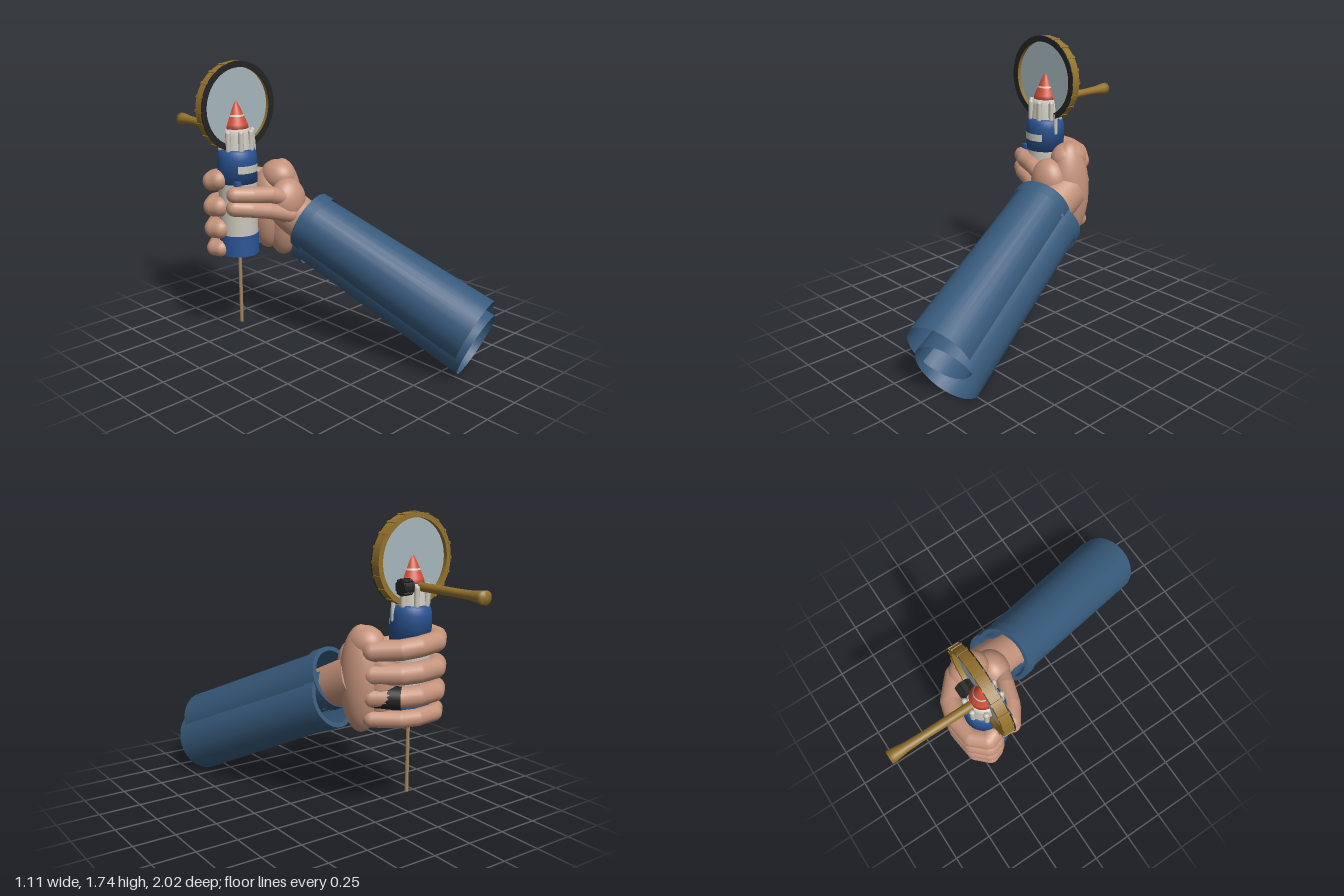
import * as THREE from 'three';

const V = (x, y, z) => new THREE.Vector3(x, y, z);
const UP = V(0, 1, 0);

function material(name, color, side = THREE.FrontSide) {
  const m = new THREE.MeshStandardMaterial({ color, side });
  m.name = name;
  return m;
}

export function createModel() {
  const model = new THREE.Group();
  model.name = 'handHoldingRocketAndMagnifier';
  const skin = material('skin', 0xc4937b);
  const denim = material('sleeveBlue', 0x375a7c, THREE.DoubleSide);
  const blue = material('rocketBlue', 0x2b5596);
  const white = material('offWhite', 0xcac6bc, THREE.DoubleSide);
  const red = material('noseRed', 0xd0503a);
  const gold = material('brass', 0x94722c);
  const black = material('black', 0x242424);
  const glass = material('glass', 0xa6b7be);
  const wood = material('wood', 0xa3835f);

  function add(parent, name, geometry, mat, pos) {
    const mesh = new THREE.Mesh(geometry, mat);
    mesh.name = name;
    if (pos) mesh.position.copy(pos);
    parent.add(mesh);
    return mesh;
  }
  function group(name, pos) {
    const g = new THREE.Group();
    g.name = name;
    if (pos) g.position.copy(pos);
    model.add(g);
    return g;
  }
  // Places a y-aligned geometry midway between a and b
  function aim(mesh, a, b) {
    mesh.position.copy(a).lerp(b, 0.5);
    mesh.quaternion.setFromUnitVectors(UP, b.clone().sub(a).normalize());
    return mesh;
  }
  function rod(parent, name, a, b, ra, rb, mat, open = false) {
    const geo = new THREE.CylinderGeometry(rb, ra, a.distanceTo(b), 28, 1, open);
    return aim(add(parent, name, geo, mat), a, b);
  }
  // Finger made of rounded segments through a list of points
  function digit(parent, name, points, r, mat = skin) {
    for (let i = 0; i < points.length - 1; i++) {
      const geo = new THREE.CapsuleGeometry(r, points[i].distanceTo(points[i + 1]), 6, 16);
      aim(add(parent, name, geo, mat), points[i], points[i + 1]);
    }
  }
  const lathe = pts => new THREE.LatheGeometry(pts.map(p => new THREE.Vector2(p[0], p[1])), 32);

  // Rocket body, from the base to the nose
  const rocket = group('rocket', V(-0.29, 0, -0.43));
  add(rocket, 'baseBand', new THREE.CylinderGeometry(0.12, 0.12, 0.13, 32), blue, V(0, 0.645, 0));
  add(rocket, 'lowerBody', new THREE.CylinderGeometry(0.117, 0.117, 0.33, 32), white, V(0, 0.87, 0));
  add(rocket, 'upperBody', lathe([[0, 1.03], [0.12, 1.03], [0.12, 1.18], [0.112, 1.22], [0.095, 1.24], [0, 1.24]]), blue);
  add(rocket, 'neck', lathe([[0.1, 1.23], [0.088, 1.32], [0.078, 1.355], [0, 1.355]]), white);
  add(rocket, 'noseCone', lathe([[0, 1.345], [0.077, 1.345], [0.068, 1.38], [0.022, 1.485], [0.01, 1.505], [0, 1.51]]), red);
  add(rocket, 'noseStripe', lathe([[0.05, 1.426], [0.045, 1.436]]), white);
  for (let i = 0; i < 8; i++) {
    const a = (i + 0.5) * Math.PI / 4;
    add(rocket, 'booster', new THREE.CapsuleGeometry(0.016, 0.1, 4, 10), white,
      V(Math.sin(a) * 0.098, 1.285, Math.cos(a) * 0.098));
  }
  // Curved label on the front of the upper body
  add(rocket, 'label', new THREE.CylinderGeometry(0.124, 0.124, 0.045, 16, 1, true, -0.63, 1.26), white, V(0, 1.12, 0));
  add(rocket, 'sidePipe', new THREE.CapsuleGeometry(0.013, 0.12, 4, 10), white, V(0.113, 1.21, 0.02));
  add(rocket, 'clip', new THREE.BoxGeometry(0.035, 0.05, 0.03), blue, V(-0.08, 1.03, 0.1));
  rod(rocket, 'stick', V(0, 0.11, 0), V(0, 0.6, 0), 0.011, 0.011, wood);

  // Ribbed knob next to the nose
  const knob = group('knob', V(-0.2, 1.34, -0.48));
  rod(knob, 'knobCore', V(-0.04, 0, 0), V(0.034, 0, 0), 0.04, 0.04, black);
  for (let i = 0; i < 10; i++) {
    const a = i * Math.PI / 5;
    const rib = add(knob, 'knobRib', new THREE.BoxGeometry(0.06, 0.016, 0.016), black,
      V(0, Math.cos(a) * 0.04, Math.sin(a) * 0.04));
    rib.rotation.x = a;
  }

  // Magnifying glass with a ribbed brass rim
  const lens = group('magnifier', V(-0.29, 1.482, -0.433));
  const annulus = (outer, inner, depth) => {
    const shape = new THREE.Shape().absarc(0, 0, outer, 0, Math.PI * 2);
    shape.holes.push(new THREE.Path().absarc(0, 0, inner, 0, Math.PI * 2, true));
    return new THREE.ExtrudeGeometry(shape, { depth, bevelEnabled: false, curveSegments: 48 });
  };
  add(lens, 'rim', annulus(0.262, 0.232, 0.058), gold, V(0, 0, -0.029));
  add(lens, 'frontRing', annulus(0.266, 0.23, 0.006), black, V(0, 0, 0.029));
  add(lens, 'pane', new THREE.CylinderGeometry(0.234, 0.234, 0.008, 48), glass).rotation.x = Math.PI / 2;
  for (let i = 0; i < 20; i++) {
    const a = i * Math.PI / 10;
    const rib = add(lens, 'rimRib', new THREE.BoxGeometry(0.012, 0.016, 0.066), gold,
      V(Math.cos(a) * 0.26, Math.sin(a) * 0.26, 0));
    rib.rotation.z = a;
  }
  // Handle profile runs backwards and flares at the end
  const handle = add(model, 'handle', lathe([[0, 0], [0.026, 0], [0.024, 0.35], [0.027, 0.45], [0.036, 0.52], [0.038, 0.55], [0, 0.55]]),
    gold, V(-0.293, 1.338, -0.45));
  handle.rotation.x = -Math.PI / 2;

  // Sleeve: two overlapping open tubes, each with a turned cuff
  const sleeve = group('sleeve');
  const tubes = [
    [V(0.32, 0.3, 0.92), V(0.01, 0.79, -0.12), 0.2, 0.172],
    [V(0.36, 0.195, 0.905), V(0.06, 0.68, -0.175), 0.2, 0.162],
  ];
  for (const [end, wrist, ra, rb] of tubes) {
    rod(sleeve, 'sleeveTube', end, wrist, ra, rb, denim, true);
    const back = wrist.clone().lerp(end, 0.06);
    rod(sleeve, 'cuff', back, wrist, rb + 0.015, rb + 0.012, denim, true);
    const ring = new THREE.RingGeometry(rb - 0.015, rb + 0.012, 28).rotateX(-Math.PI / 2);
    aim(add(sleeve, 'cuffEdge', ring, denim), back, wrist).position.copy(wrist);
  }

  // Palm, wrist and thumb base
  const hand = group('hand');
  const blob = (name, pos, sx, sy, sz) =>
    add(hand, name, new THREE.SphereGeometry(1, 32, 24), skin, pos).scale.set(sx, sy, sz);
  blob('palm', V(0, 0.825, -0.355), 0.115, 0.31, 0.135);
  blob('palmInner', V(-0.07, 0.82, -0.42), 0.1, 0.26, 0.12);
  blob('thumbBase', V(-0.06, 0.9, -0.24), 0.12, 0.14, 0.1);
  blob('indexKnuckle', V(-0.02, 1.03, -0.37), 0.1, 0.1, 0.12);
  const wrist = rod(hand, 'wrist', V(0.05, 0.7, -0.04), V(0.0, 0.83, -0.33), 0.125, 0.135, skin);
  wrist.scale.x = 0.95;

  // Four fingers wrapping round the back of the rocket: base height, tip height, radius
  const fingers = [[1.0, 1.05, 0.06], [0.87, 0.885, 0.062], [0.74, 0.745, 0.06], [0.615, 0.62, 0.05]];
  const path = [[0, -0.45], [-0.12, -0.555], [-0.22, -0.582], [-0.36, -0.565], [-0.425, -0.5], [-0.41, -0.46]];
  fingers.forEach(([y0, y1, r], i) => {
    const pts = path.map(([x, z], k) => V(x, y0 + (y1 - y0) * k / 5, z));
    digit(hand, 'finger' + (i + 1), pts, r);
  });
  // Dark bands at the finger roots
  rod(hand, 'wideBand', V(-0.025, 0.738, -0.455), V(-0.125, 0.738, -0.56), 0.066, 0.066, black);
  rod(hand, 'narrowBand', V(-0.025, 0.865, -0.445), V(-0.06, 0.865, -0.485), 0.068, 0.068, black);

  // Thumb across the front, an upper and a lower fold
  digit(hand, 'thumb', [V(-0.06, 0.92, -0.2), V(-0.2, 0.965, -0.235), V(-0.31, 0.975, -0.27), V(-0.395, 0.98, -0.325)], 0.05);
  digit(hand, 'thumbFold', [V(-0.08, 0.83, -0.19), V(-0.22, 0.87, -0.235), V(-0.32, 0.89, -0.27), V(-0.4, 0.9, -0.325)], 0.05);

  return model;
}
